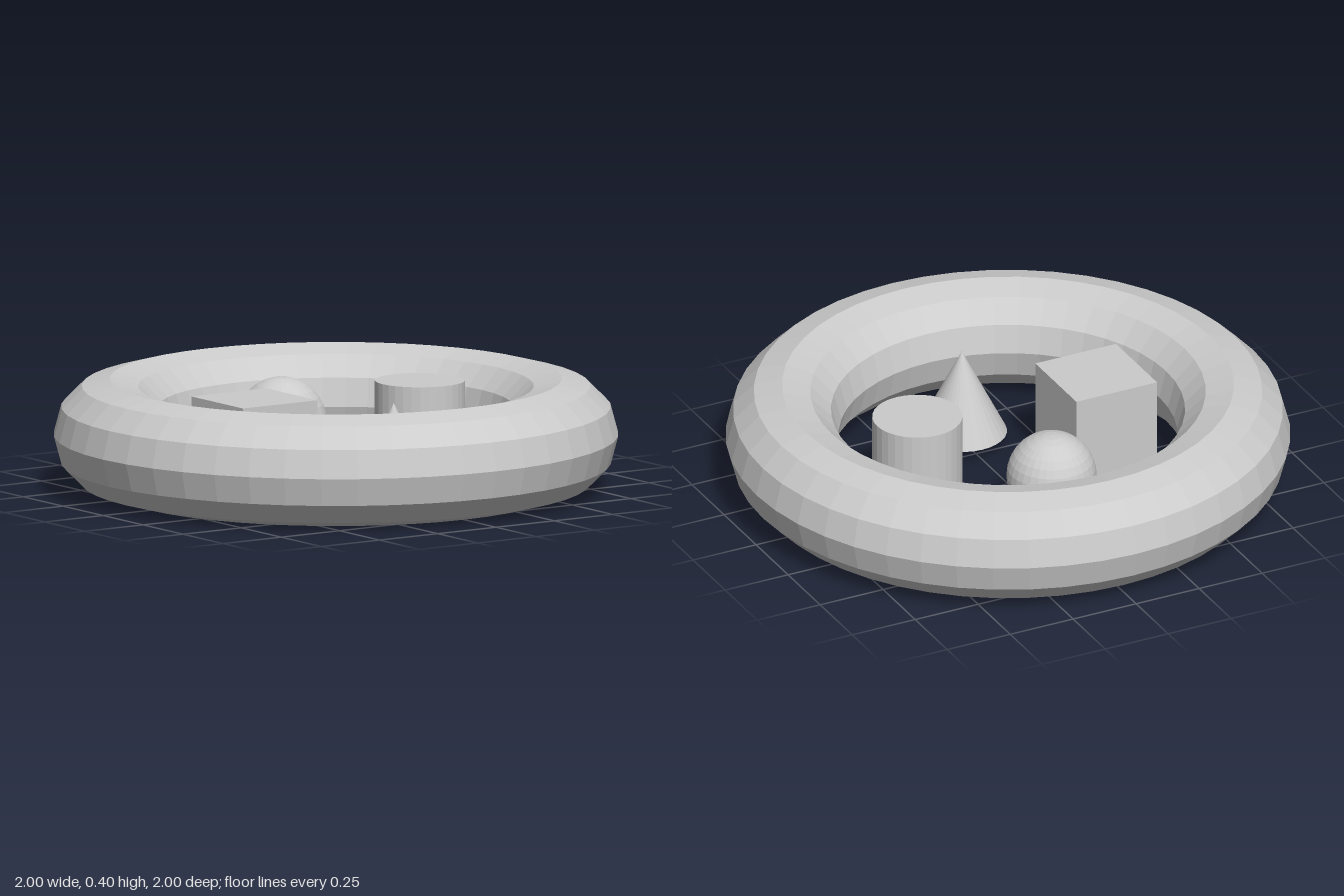
import * as THREE from 'three';

export function createModel() {
  const model = new THREE.Group();
  const material = new THREE.MeshStandardMaterial({ color: 0xcccccc, flatShading: true });

  const add = (name, geometry, x, z) => {
    const mesh = new THREE.Mesh(geometry, material);
    mesh.name = name;
    mesh.position.set(x, 0.2, z); // every part is centred on the ring's mid-height
    model.add(mesh);
  };

  // Faceted ring lying flat
  add('ring', new THREE.TorusGeometry(0.8, 0.2, 12, 48).rotateX(-Math.PI / 2), 0, 0);

  // Four floating solids inside the ring, all of the same size
  const size = 0.32, r = size / 2;
  add('cube', new THREE.BoxGeometry(size, size, size), -0.35, 0);
  add('cylinder', new THREE.CylinderGeometry(r, r, size, 32), 0.36, 0);
  add('sphere', new THREE.SphereGeometry(r, 32, 16), 0, -0.34);
  add('cone', new THREE.ConeGeometry(r, size, 32), 0, 0.36);

  return model;
}
